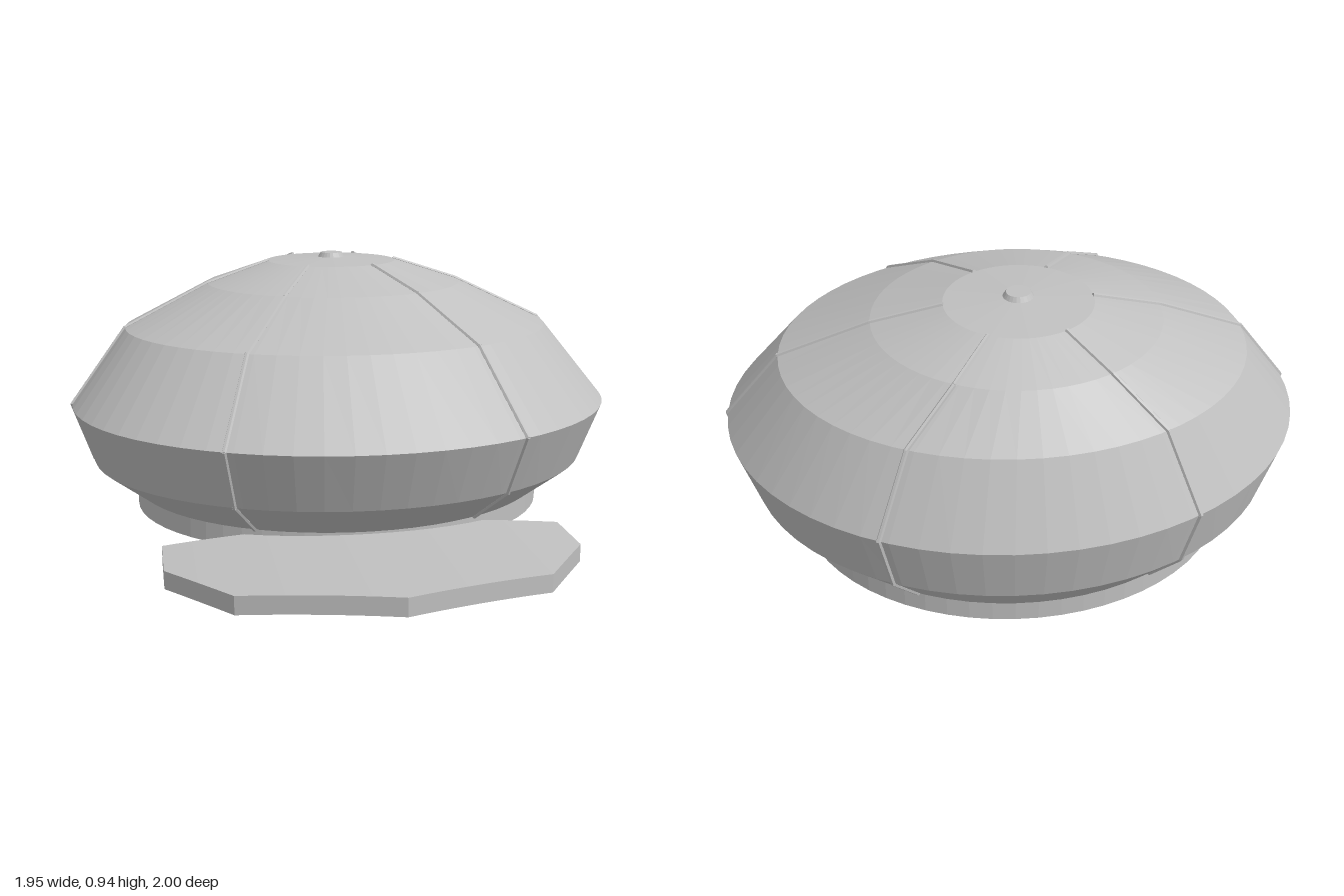
import * as THREE from 'three';

const SEGMENTS = 64;

// Elliptical rings of the crown: half width, height, centre z, half depth
const RINGS = [
  [0.75, 0.105, -0.2, 0.657],
  [0.9, 0.225, -0.175, 0.775],
  [0.97, 0.432, -0.155, 0.845],
  [0.775, 0.69, -0.228, 0.657],
  [0.47, 0.835, -0.3, 0.45],
  [0.24, 0.908, -0.345, 0.235],
  [0, 0.924, -0.345, 0],
];

// Lathe whose rings are squashed and shifted along z
function ovalLathe(rings) {
  const profile = rings.map(([rx, y]) => new THREE.Vector2(rx, y));
  const geometry = new THREE.LatheGeometry(profile, SEGMENTS);
  const pos = geometry.attributes.position;
  for (let i = 0; i < pos.count; i++) {
    const [rx, , cz, rz] = rings[i % rings.length];
    pos.setZ(i, cz + (rx > 0 ? pos.getZ(i) * rz / rx : 0));
  }
  geometry.computeVertexNormals();
  return geometry;
}

// Thin rod between two points
function rod(a, b, radius, material) {
  const dir = b.clone().sub(a);
  const mesh = new THREE.Mesh(new THREE.CylinderGeometry(radius, radius, dir.length() + radius * 0.6, 6), material);
  mesh.position.copy(a).add(b).multiplyScalar(0.5);
  mesh.quaternion.setFromUnitVectors(new THREE.Vector3(0, 1, 0), dir.normalize());
  return mesh;
}

// Front edge of the visor at a given x
function visorFront(x) {
  const ax = Math.abs(x), corner = 0.68 * 10 / 14;
  return ax < corner
    ? THREE.MathUtils.mapLinear(ax, 0, corner, 1, 0.855)
    : THREE.MathUtils.mapLinear(ax, corner, 0.68, 0.855, 0.575);
}

export function createModel() {
  const cap = new THREE.Group();
  cap.name = 'cap';
  const cloth = new THREE.MeshStandardMaterial({ color: 0xc0c0c0 });
  cloth.name = 'grey cloth';
  cloth.flatShading = true;
  cloth.side = THREE.DoubleSide;

  const add = (name, geometry) => {
    const mesh = new THREE.Mesh(geometry, cloth);
    mesh.name = name;
    cap.add(mesh);
    return mesh;
  };

  // Open-bottomed crown
  add('crown', ovalLathe(RINGS));

  // Head band with a solid wall
  const inner = [0.68, -0.2, 0.59], outer = [0.75, -0.2, 0.657];
  const at = ([rx, cz, rz], y) => [rx, y, cz, rz];
  add('headBand', ovalLathe([
    at(inner, 0.037), at(outer, 0.037), at(outer, 0.105), at(inner, 0.105), at(inner, 0.037),
  ]));

  // Six seams following the crown
  const seams = new THREE.Group();
  seams.name = 'seams';
  for (let s = 0; s < 6; s++) {
    const angle = s * Math.PI / 3;
    const path = RINGS.slice(0, -1).map(([rx, y, cz, rz]) =>
      new THREE.Vector3(rx * Math.cos(angle), y, cz + rz * Math.sin(angle)));
    for (let i = 1; i < path.length; i++) {
      const piece = rod(path[i - 1], path[i], 0.008, cloth);
      piece.name = 'seam';
      seams.add(piece);
    }
  }
  cap.add(seams);

  // Top button
  add('button', new THREE.CylinderGeometry(0.04, 0.053, 0.022, 24)).position.set(0, 0.926, -0.34);

  // Arched visor with a straight back edge and a faceted front
  const visor = new THREE.BoxGeometry(1.36, 0.06, 1, 28, 1, 1);
  const pos = visor.attributes.position;
  for (let i = 0; i < pos.count; i++) {
    const x = pos.getX(i);
    pos.setY(i, pos.getY(i) + 0.03 + 0.037 * (1 - (x / 0.68) ** 2));
    pos.setZ(i, pos.getZ(i) > 0 ? visorFront(x) : 0.35);
  }
  visor.computeVertexNormals();
  add('visor', visor);

  return cap;
}
